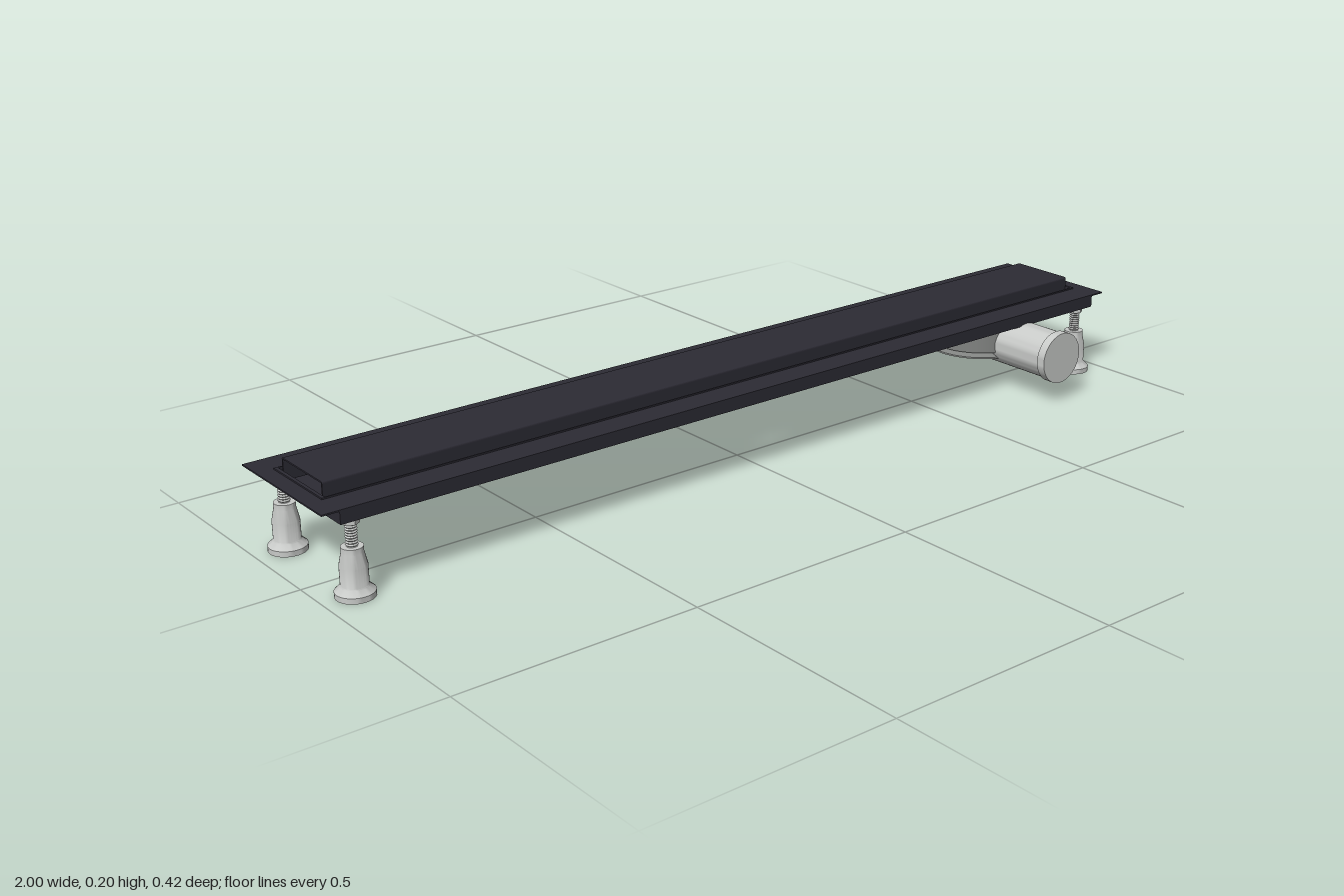
import * as THREE from 'three';
import { toCreasedNormals } from 'three/addons/utils/BufferGeometryUtils.js';

const material = (name, color) => {
  const m = new THREE.MeshStandardMaterial({ color });
  m.name = name;
  return m;
};

export function createModel() {
  const dark = material('anthracite', 0x2c2b34);
  const light = material('light grey', 0xc9cbc9);
  const mid = material('mid grey', 0x808280);
  const model = new THREE.Group();
  model.name = 'linearDrain';
  const midZ = -0.045;

  const add = (parent, name, geometry, mat, x = 0, y = 0, z = 0) => {
    const mesh = new THREE.Mesh(geometry, mat);
    mesh.name = name;
    mesh.position.set(x, y, z);
    parent.add(mesh);
    return mesh;
  };
  const box = (parent, name, w, h, d, x, y, z) =>
    add(parent, name, new THREE.BoxGeometry(w, h, d), dark, x, y, z);
  const lathe = (points, segments = 40) => toCreasedNormals(
    new THREE.LatheGeometry(points.map(([r, y]) => new THREE.Vector2(r, y)), segments), 0.6);
  const rectangle = (w, d, Type = THREE.Shape) => new Type([
    new THREE.Vector2(-w / 2, -d / 2), new THREE.Vector2(w / 2, -d / 2),
    new THREE.Vector2(w / 2, d / 2), new THREE.Vector2(-w / 2, d / 2)]);
  // Horizontal plate with one hole, its underside at y = 0
  const plate = (w, d, hole, thickness) => {
    const shape = rectangle(w, d);
    shape.holes.push(hole);
    return new THREE.ExtrudeGeometry(shape, { depth: thickness, bevelEnabled: false, curveSegments: 40 })
      .rotateX(-Math.PI / 2);
  };

  // Tray: pierced floor, four walls, top flange and the lip of its opening
  const tray = new THREE.Group();
  tray.name = 'tray';
  tray.position.z = midZ;
  model.add(tray);
  const floorHole = new THREE.Path().absarc(0, 0, 0.087, 0, Math.PI * 2);
  add(tray, 'trayFloor', plate(1.93, 0.296, floorHole, 0.004), dark, 0, 0.151, 0);
  for (const s of [-1, 1]) {
    box(tray, 'longWall', 1.93, 0.027, 0.004, 0, 0.1645, s * 0.146);
    box(tray, 'endWall', 0.004, 0.027, 0.296, s * 0.963, 0.1645, 0);
  }
  add(tray, 'flange', plate(2, 0.296, rectangle(1.92, 0.172, THREE.Path), 0.003), dark, 0, 0.176, 0);
  add(tray, 'openingLip', plate(1.934, 0.178, rectangle(1.92, 0.172, THREE.Path), 0.004), dark, 0, 0.178, 0);

  // Cover: inverted channel, open at both ends
  const cover = new THREE.Group();
  cover.name = 'cover';
  cover.position.z = midZ;
  model.add(cover);
  const outline = new THREE.Shape();
  outline.moveTo(-0.074, 0.16);
  outline.lineTo(-0.074, 0.201);
  outline.quadraticCurveTo(-0.074, 0.205, -0.070, 0.205);
  outline.lineTo(0.070, 0.205);
  outline.quadraticCurveTo(0.074, 0.205, 0.074, 0.201);
  outline.lineTo(0.074, 0.16);
  outline.lineTo(0.071, 0.16);
  outline.lineTo(0.071, 0.202);
  outline.lineTo(-0.071, 0.202);
  outline.lineTo(-0.071, 0.16);
  const channel = new THREE.ExtrudeGeometry(outline, { depth: 1.914, bevelEnabled: false, curveSegments: 4 });
  channel.translate(0, 0, -0.957).rotateY(Math.PI / 2);
  add(cover, 'coverChannel', channel, dark);

  // Trap: round body with a flared base plate
  add(model, 'trapBody', lathe([
    [0, 0.072], [0.117, 0.072], [0.116, 0.075], [0.098, 0.086], [0.117, 0.086],
    [0.117, 0.135], [0.119, 0.137], [0.119, 0.151], [0, 0.151]], 56), mid, 0.75, 0, midZ);

  // Outlet pipe with end collar, pointing forward
  const pipe = lathe([[0, -0.045], [0.053, -0.045], [0.053, 0.19], [0.057, 0.19], [0.057, 0.21], [0, 0.21]], 48);
  pipe.rotateX(Math.PI / 2);
  add(model, 'outletPipe', pipe, light, 0.75, 0.1025, 0);

  // Adjustable feet: hollow base, threaded rod and hexagonal nut
  const footGeometry = lathe([
    [0, 0.012], [0.026, 0.012], [0.031, 0], [0.0375, 0], [0.0375, 0.011], [0.027, 0.021],
    [0.026, 0.023], [0.026, 0.06], [0.0205, 0.085], [0.0205, 0.096], [0, 0.096]], 32);
  const thread = [[0, 0.09]];
  for (let i = 0; i <= 20; i++) thread.push([i % 2 ? 0.0115 : 0.0095, 0.092 + i * 0.0025]);
  thread.push([0, 0.142]);
  const rodGeometry = lathe(thread, 20);
  const nutGeometry = toCreasedNormals(new THREE.CylinderGeometry(0.017, 0.017, 0.011, 6), 0.5);
  for (const x of [-0.935, 0.935]) {
    for (const z of [-0.17, 0.081]) {
      const foot = new THREE.Group();
      foot.name = 'foot';
      foot.position.set(x, 0, z);
      model.add(foot);
      add(foot, 'footBase', footGeometry, light);
      add(foot, 'threadedRod', rodGeometry, light);
      add(foot, 'nut', nutGeometry, light, 0, 0.1455, 0);
    }
  }
  return model;
}
